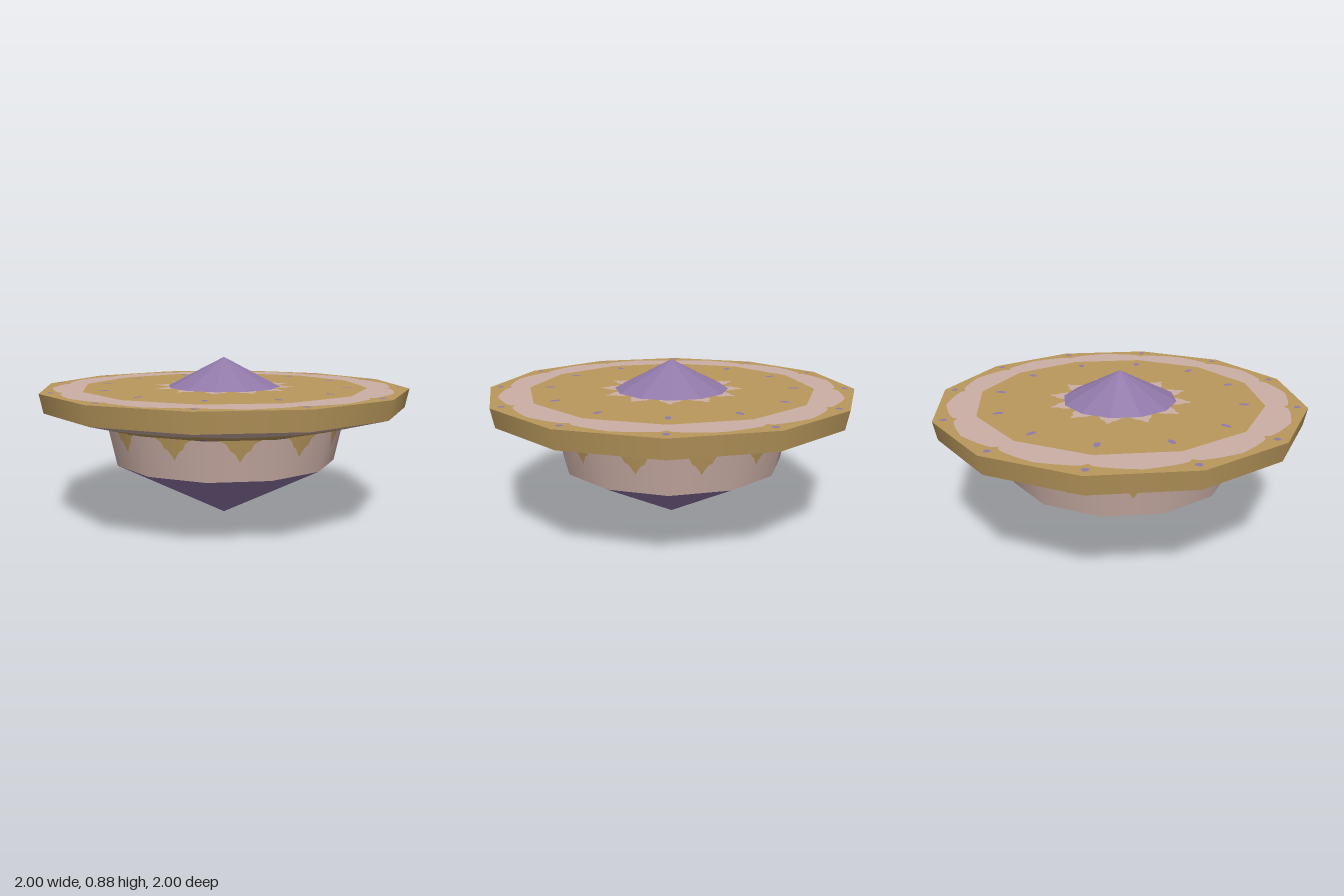
import * as THREE from 'three';
import { mergeGeometries } from 'three/addons/utils/BufferGeometryUtils.js';

const SIDES = 12, SECTOR = Math.PI * 2 / SIDES, FINE = 20;

// Outline from the upper tip, over the disc, down to the lower tip: [radius, height]
const OUTLINE = {
  crown: [[0, 0.88], [0.31, 0.72]],
  deck: [[0.31, 0.72], [1, 0.72]],
  rim: [[1, 0.72], [0.98, 0.62]],
  underside: [[0.98, 0.62], [0.655, 0.53]],
  wall: [[0.655, 0.53], [0.61, 0.32]],
  point: [[0.61, 0.32], [0, 0]],
};

// Point on a twelve-sided strip at angle a and fraction t, lifted along its normal
function onStrip([A, B], a, t, lift = 0) {
  const d = ((a % SECTOR) + SECTOR) % SECTOR - SECTOR / 2;
  const flat = Math.cos(SECTOR / 2) / Math.cos(d);
  const n = normalAt([A, B], a).multiplyScalar(lift);
  const r = (A[0] + (B[0] - A[0]) * t) * flat;
  return new THREE.Vector3(r * Math.sin(a), A[1] + (B[1] - A[1]) * t, r * Math.cos(a)).add(n);
}

function normalAt([A, B], a) {
  const out = A[1] - B[1], up = B[0] - A[0];
  return new THREE.Vector3(out * Math.sin(a), up, out * Math.cos(a)).normalize();
}

function makeGeometry(points, normals, index) {
  const g = new THREE.BufferGeometry().setFromPoints(points);
  g.setAttribute('normal', new THREE.Float32BufferAttribute(normals.flatMap(n => n.toArray()), 3));
  g.setIndex(index);
  return g;
}

// Band between two fractions of a strip; each edge is a rule of u
// (u = 0 at a corner of the twelve-sided outline, 1 at the middle of a side)
function band(strip, from, to, steps = FINE) {
  const points = [], normals = [], index = [], count = SIDES * steps;
  for (let i = 0; i <= count; i++) {
    const k = i % steps / steps, u = 1 - Math.abs(2 * k - 1), a = i * SECTOR / steps;
    points.push(onStrip(strip, a, from(u)), onStrip(strip, a, to(u)));
    normals.push(normalAt(strip, a), normalAt(strip, a));
    if (i < count) {
      const p = i * 2;
      index.push(p, p + 1, p + 3, p, p + 3, p + 2);
    }
  }
  return makeGeometry(points, normals, index);
}

// A ring of oval spots, one at each corner
function spots(strip, radius, along, across) {
  const [A, B] = strip, t = (radius - A[0]) / (B[0] - A[0]);
  const length = Math.hypot(B[0] - A[0], B[1] - A[1]), n = 12;
  const ring = [];
  for (let s = 0; s < SIDES; s++) {
    const a = s * SECTOR, points = [onStrip(strip, a, t, 0.003)], normals = [normalAt(strip, a)], index = [];
    for (let i = 0; i < n; i++) {
      const q = i / n * Math.PI * 2;
      points.push(onStrip(strip, a + across * Math.sin(q) / radius, t + along * Math.cos(q) / length, 0.003));
      normals.push(normalAt(strip, a));
      index.push(0, 1 + i, 1 + (i + 1) % n);
    }
    ring.push(makeGeometry(points, normals, index));
  }
  return mergeGeometries(ring);
}

// Straight-line interpolation through a few [u, value] stops
function stops(list) {
  return u => {
    for (let i = 1; i < list.length; i++) {
      const [u0, v0] = list[i - 1], [u1, v1] = list[i];
      if (u <= u1) return v0 + (v1 - v0) * (u - u0) / (u1 - u0);
    }
    return list[list.length - 1][1];
  };
}

export function createModel() {
  const model = new THREE.Group();
  model.name = 'spinningTop';

  const material = (name, color) => {
    const m = new THREE.MeshStandardMaterial({ color });
    m.name = name;
    return m;
  };
  const gold = material('gold', 0xb9985c);
  const pink = material('dustyPink', 0xcbaea6);
  const purple = material('purple', 0x9078a8);

  const add = (name, geometry, mat) => {
    const mesh = new THREE.Mesh(geometry, mat);
    mesh.name = name;
    model.add(mesh);
  };
  const start = () => 0, end = () => 1;
  const { crown, deck, rim, underside, wall, point } = OUTLINE;

  // Faceted crown and smooth lower point
  const facets = band(crown, start, end, 1).toNonIndexed();
  facets.computeVertexNormals();
  add('crown', facets, purple);
  add('point', band(point, start, end, 2), purple);

  // Deck: petals around the crown, a gold field, a scalloped ring and a gold border
  const deckAt = rule => u => (rule(u) - 0.31) / 0.69;
  const petal = deckAt(stops([[0, 0.39], [0.12, 0.385], [0.2, 0.36], [0.48, 0.348], [0.75, 0.31], [1, 0.31]]));
  const ringInner = deckAt(() => 0.78);
  const ringOuter = deckAt(u => 0.875 + 0.085 * Math.sqrt(u));
  add('deckPetals', band(deck, start, petal), pink);
  add('deckField', band(deck, petal, ringInner), gold);
  add('deckRing', band(deck, ringInner, ringOuter), pink);
  add('deckBorder', band(deck, ringOuter, end), gold);
  add('deckInnerSpots', spots(deck, 0.67, 0.03, 0.016), purple);
  add('deckOuterSpots', spots(deck, 0.945, 0.018, 0.018), purple);

  // Rim
  add('rim', band(rim, start, end, 2), gold);

  // Underside: pink scallops outside a pointed gold star
  const star = u => (0.98 - (0.78 + 0.085 * (1 - u) ** 2)) / 0.325;
  add('undersideScallops', band(underside, start, star), pink);
  add('undersideStar', band(underside, star, end), gold);
  add('undersideSpots', spots(underside, 0.74, 0.024, 0.024), purple);

  // Wall: gold drips hang from the upper edge at the middle of each side
  const drip = stops([[0, 0], [0.4, 0], [0.62, 0.1], [0.7, 0.25], [0.85, 0.3], [0.92, 0.43], [1, 0.52]]);
  add('wallDrips', band(wall, start, drip), gold);
  add('wall', band(wall, drip, end), pink);

  return model;
}
